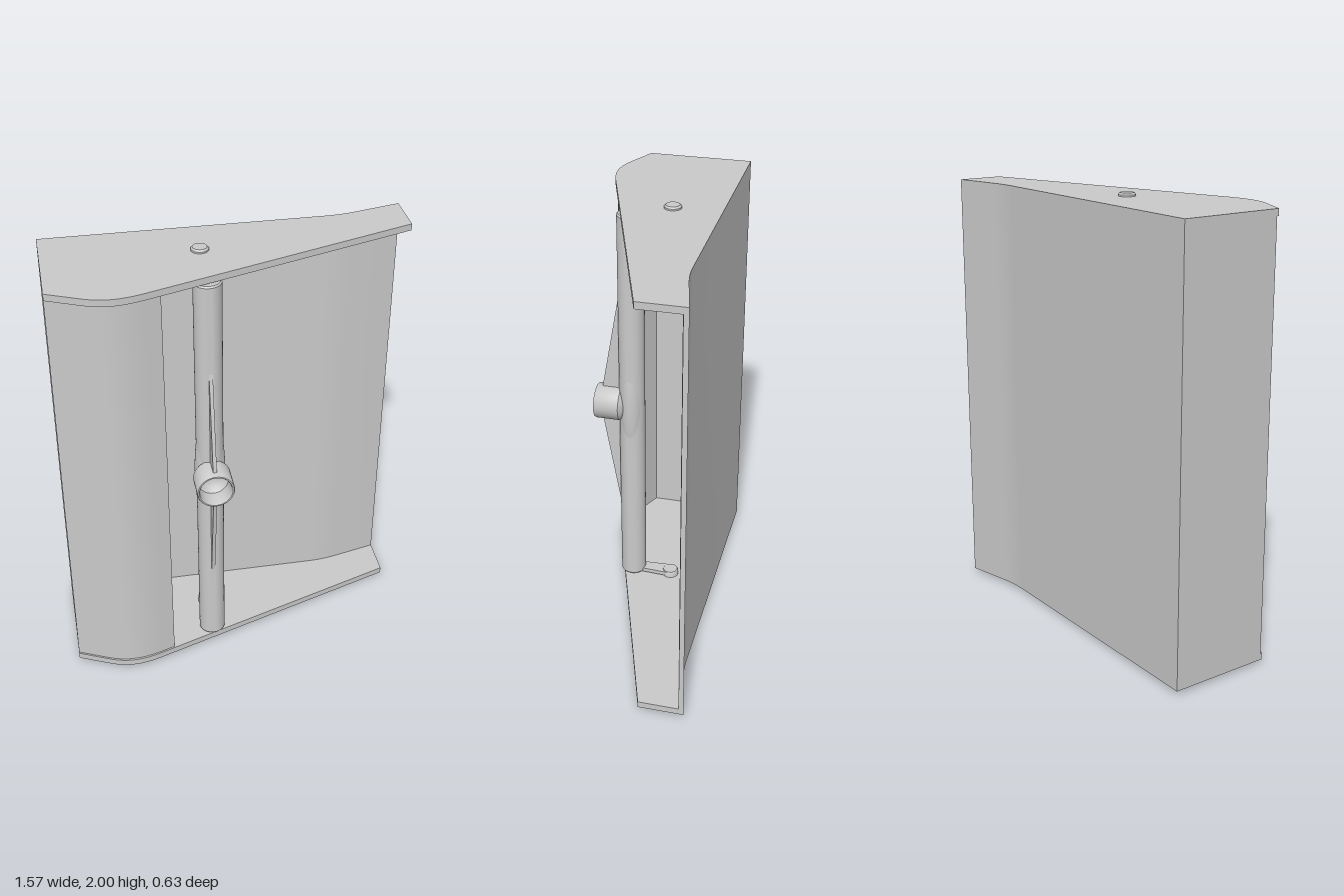
import * as THREE from 'three';
import { toCreasedNormals } from 'three/addons/utils/BufferGeometryUtils.js';

const grey = new THREE.MeshStandardMaterial({ color: 0xcacaca });
grey.name = 'plain grey';

function add(parent, name, geometry, x = 0, y = 0, z = 0) {
  const mesh = new THREE.Mesh(toCreasedNormals(geometry, 0.6), grey);
  mesh.name = name;
  mesh.position.set(x, y, z);
  parent.add(mesh);
  return mesh;
}

// Extrude a plan drawn in x and -z upwards from y0 to y1
function extrudeUp(shape, y0, y1) {
  const g = new THREE.ExtrudeGeometry(shape, { depth: y1 - y0, bevelEnabled: false, curveSegments: 12 });
  return g.rotateX(-Math.PI / 2).translate(0, y0, 0);
}

// Outer back edge, from the kicked-out tail to the square corner
function backEdge(s) {
  s.lineTo(0.787, 0.316);
  s.lineTo(0.58, 0.268);
  s.quadraticCurveTo(0.51, 0.252, 0.44, 0.252);
  s.lineTo(-0.787, 0.252);
}

// Plan of the end plates: flat back, kicked-out tail, rounded nose
function platePlan() {
  const s = new THREE.Shape();
  s.moveTo(-0.787, -0.221);
  s.lineTo(-0.66, -0.279);
  s.bezierCurveTo(-0.57, -0.322, -0.5, -0.32, -0.4, -0.287);
  s.lineTo(0.787, 0.11);
  backEdge(s);
  return s;
}

// Plan of the hollow body: curved front panel, side wall, long back wall
function bodyPlan() {
  const s = new THREE.Shape();
  s.moveTo(-0.787, -0.213);
  s.lineTo(-0.66, -0.271);
  s.bezierCurveTo(-0.57, -0.312, -0.5, -0.31, -0.4, -0.279);
  s.lineTo(-0.335, -0.257);
  s.lineTo(-0.335, -0.215);
  s.lineTo(-0.4, -0.237);
  s.bezierCurveTo(-0.5, -0.27, -0.57, -0.276, -0.66, -0.237);
  s.lineTo(-0.762, -0.19);
  s.lineTo(-0.762, 0.205);
  s.quadraticCurveTo(-0.762, 0.23, -0.737, 0.23);
  s.lineTo(0.44, 0.23);
  s.quadraticCurveTo(0.51, 0.23, 0.58, 0.246);
  s.lineTo(0.787, 0.294);
  backEdge(s);
  return s;
}

// Arm tapering from the rod to a round end at the pin (origin at the rod axis)
function armPlan() {
  const s = new THREE.Shape();
  s.moveTo(-0.025, 0);
  s.lineTo(0.025, 0);
  s.lineTo(0.035, 0.187);
  s.absarc(0, 0.187, 0.035, 0, Math.PI, false);
  return s;
}

function lathe(points, segments = 40) {
  return new THREE.LatheGeometry(points.map(([r, y]) => new THREE.Vector2(r, y)), segments);
}

export function createModel() {
  const model = new THREE.Group();
  model.name = 'housing with swinging rod';

  // Housing
  add(model, 'body', extrudeUp(bodyPlan(), 0.04, 1.96));
  add(model, 'bottomPlate', extrudeUp(platePlan(), 0.018, 0.048));
  add(model, 'topPlate', extrudeUp(platePlan(), 1.955, 1.985));

  const rodX = -0.135, rodZ = 0.15;

  // Rod with softened ends and a slight swell at mid height
  add(model, 'rod', lathe([
    [0, -0.945], [0.054, -0.945], [0.06, -0.938], [0.06, 0.938], [0.054, 0.945], [0, 0.945],
  ]), rodX, 1, rodZ);
  add(model, 'rodSwell', new THREE.SphereGeometry(1, 32, 24).scale(0.068, 0.32, 0.056), rodX, 1, rodZ);

  // Hollow cup facing forward, blending into the rod
  const cup = lathe([
    [0, 0], [0.03, 0.005], [0.083, 0.05], [0.083, 0.162], [0.08, 0.167],
    [0.074, 0.167], [0.07, 0.16], [0.066, 0.09], [0.045, 0.07], [0, 0.06],
  ]).rotateX(Math.PI / 2);
  add(model, 'cup', cup, rodX, 1.003, rodZ);

  // Each half: fin, arm and pin; the lower half is turned over
  for (const [side, turn] of [['upper', 0], ['lower', Math.PI]]) {
    const half = new THREE.Group();
    half.name = side + 'RodEnd';
    half.position.set(rodX, 1, rodZ);
    half.rotation.z = turn;
    model.add(half);

    const finShape = new THREE.Shape([
      new THREE.Vector2(-0.14, 0.078), new THREE.Vector2(-0.06, 0.535),
      new THREE.Vector2(-0.03, 0.5), new THREE.Vector2(-0.03, 0.06),
    ]);
    const fin = new THREE.ExtrudeGeometry(finShape, { depth: 0.016, bevelEnabled: false });
    add(half, 'fin', fin.rotateY(Math.PI / 2).translate(-0.008, 0, 0));

    add(half, 'arm', extrudeUp(armPlan(), 0.925, 0.945));
    add(half, 'pin', lathe([
      [0, 0.922], [0.034, 0.922], [0.038, 0.928], [0.038, 0.992], [0.031, 1], [0, 1],
    ], 32), 0, 0, -0.187);
  }
  return model;
}
